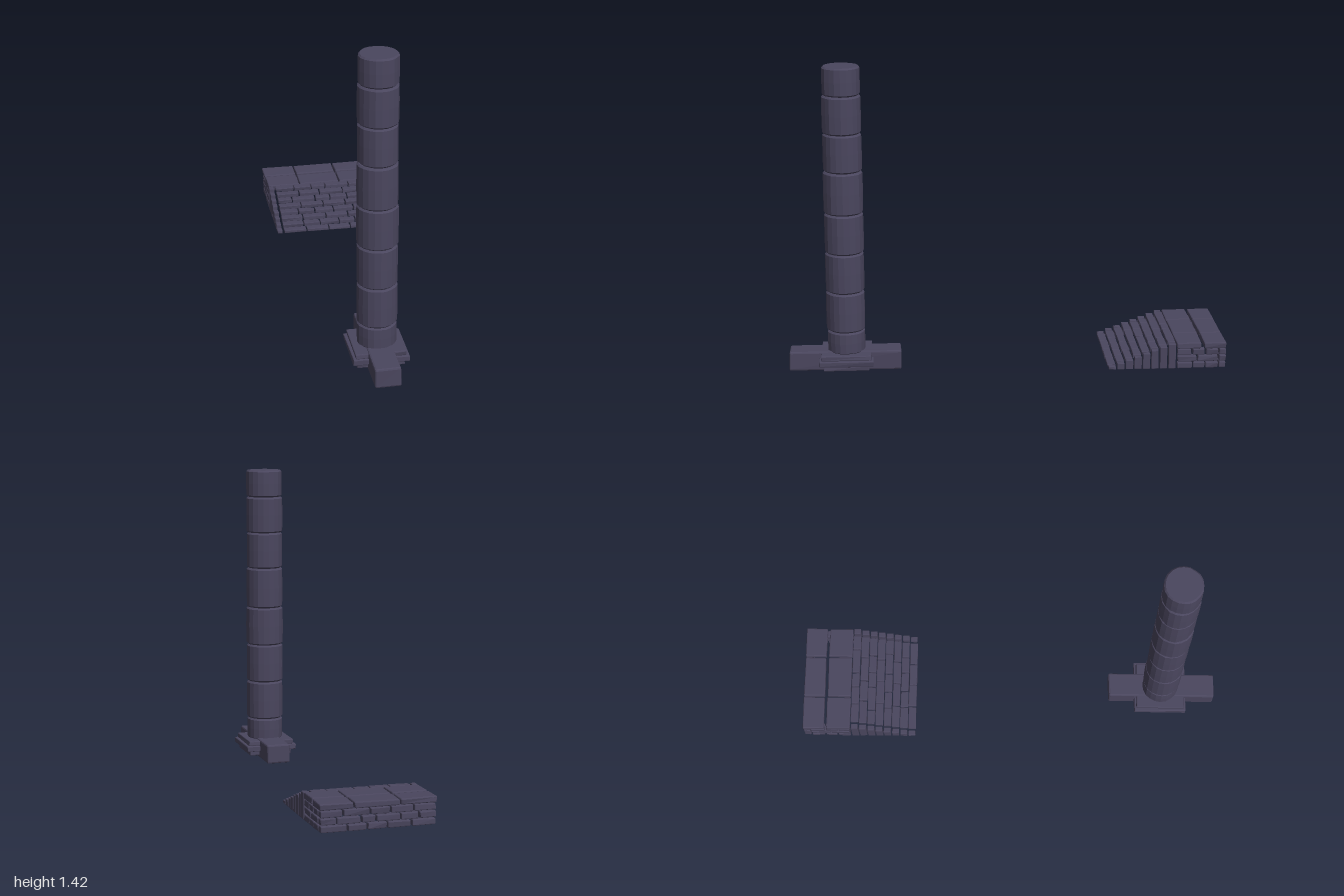
import * as THREE from 'three';
import { mergeGeometries } from 'three/addons/utils/BufferGeometryUtils.js';
import { RoundedBoxGeometry } from 'three/addons/geometries/RoundedBoxGeometry.js';

export function createModel() {
  const model = new THREE.Group();
  const stoneMat = new THREE.MeshStandardMaterial({ color: 0x4a465e });
  stoneMat.name = 'slate stone';

  // Small seeded generator for hand-cut irregularity
  let seed = 7;
  const rand = () => (seed = (seed * 16807) % 2147483647) / 2147483647;
  const vary = (a) => (rand() * 2 - 1) * a;

  // Chamfered block between two corners, each corner nudged a little
  function stone([x0, x1], [y0, y1], [z0, z1], wobble = 0.002, bevel = 0.004) {
    const w = x1 - x0, h = y1 - y0, d = z1 - z0;
    const geo = new RoundedBoxGeometry(w, h, d, 1, Math.min(bevel, w / 4, h / 4, d / 4));
    const nudge = Array.from({ length: 8 }, () => [vary(wobble), vary(wobble * 0.6), vary(wobble)]);
    const p = geo.attributes.position;
    for (let i = 0; i < p.count; i++) {
      const c = [p.getX(i), p.getY(i), p.getZ(i)];
      const n = nudge[(c[0] > 0 ? 1 : 0) + (c[1] > 0 ? 2 : 0) + (c[2] > 0 ? 4 : 0)];
      p.setXYZ(i, c[0] + n[0], c[1] + n[1], c[2] + n[2]);
    }
    geo.translate((x0 + x1) / 2, (y0 + y1) / 2, (z0 + z1) / 2);
    geo.computeVertexNormals();
    return geo;
  }

  function add(parent, name, geos) {
    const mesh = new THREE.Mesh(geos.length > 1 ? mergeGeometries(geos) : geos[0], stoneMat);
    mesh.name = name;
    parent.add(mesh);
  }

  // Splits a length into count bricks with uneven joints
  function split(from, to, count, gap, unevenness) {
    const step = (to - from) / count;
    const cuts = [from];
    for (let i = 1; i < count; i++) cuts.push(from + step * i + vary(step * unevenness));
    cuts.push(to);
    return cuts.slice(1).map((c, i) => [cuts[i] + gap / 2, c - gap / 2]);
  }

  // ---- Column ----
  const column = new THREE.Group();
  column.name = 'column';
  model.add(column);
  const colZ = 0.735, sides = 20;

  // Stacked drum: bevelled rims with chiselled, slightly uneven facets
  function drum(y0, y1, r) {
    const b = 0.008, g = 0.001;
    const profile = [[0, y0 + g], [r - 0.007, y0 + g], [r, y0 + b], [r + 0.001, (y0 + y1) / 2],
      [r, y1 - b], [r - 0.007, y1 - g], [0, y1 - g]].map(([x, y]) => new THREE.Vector2(x, y));
    const geo = new THREE.LatheGeometry(profile, sides);
    const facet = Array.from({ length: sides }, () => 1 + vary(0.018));
    const p = geo.attributes.position;
    for (let i = 0; i < p.count; i++) {
      const f = facet[Math.floor(i / profile.length) % sides];
      p.setXYZ(i, p.getX(i) * f, p.getY(i), p.getZ(i) * f);
    }
    geo.translate(0, 0, colZ);
    const flat = geo.toNonIndexed();
    flat.computeVertexNormals();
    return flat;
  }
  const seams = [0.085, 0.19, 0.375, 0.56, 0.745, 0.94, 1.115, 1.29, 1.422];
  const radii = [0.086, 0.088, 0.088, 0.089, 0.089, 0.087, 0.088, 0.086];
  radii.forEach((r, i) => add(column, 'drum' + (i + 1), [drum(seams[i], seams[i + 1], r)]));

  // Foot: long beam crossed by three layered slabs
  add(column, 'footBeam', [stone([-0.058, 0.058], [0.004, 0.094], [0.483, 0.997], 0.003, 0.008)]);
  add(column, 'lowerSlab', [stone([-0.105, 0.105], [0.015, 0.042], [0.632, 0.838])]);
  add(column, 'middleSlab', [stone([-0.124, 0.124], [0.04, 0.068], [0.61, 0.86])]);
  add(column, 'upperSlab', [stone([-0.112, 0.112], [0.066, 0.09], [0.62, 0.85])]);

  // ---- Stairs ----
  const stairs = new THREE.Group();
  stairs.name = 'stairs';
  model.add(stairs);
  const base = 0.05, steps = 8, run = 0.039, front = -0.457;

  // Treads of thin bricks, flanked by upright edge blocks
  for (let i = 0; i < steps; i++) {
    const top = 0.065 + i * 0.0147;
    const z1 = front - i * run, z0 = z1 - run;
    const offset = i % 2 ? 0.2 : 0.05;
    const bricks = split(-0.224, 0.222, i % 2 ? 5 : 4, 0.005, offset)
      .map((x) => stone(x, [Math.max(base, top - 0.019), top], [z0 + 0.001, z1 - 0.001], 0.0015, 0.003));
    add(stairs, 'tread' + (i + 1), bricks);
    const ends = [[-0.255, -0.231], [0.23, 0.255]]
      .map((x) => stone(x, [base, top], [z0 + 0.003, z1 - 0.003], 0.001, 0.003));
    add(stairs, 'edgeBlocks' + (i + 1), ends);
  }

  // Landing paved with two rows of large slabs
  const paving = [];
  for (const z of [[-0.998, -0.897], [-0.884, -0.771]])
    for (const x of [[-0.255, -0.098], [-0.091, 0.104], [0.111, 0.255]])
      paving.push(stone(x, [0.143, 0.17], z, 0.002, 0.005));
  add(stairs, 'landingSlabs', paving);

  // Brick courses around the hollow landing
  const courses = [[0.05, 0.077], [0.081, 0.109], [0.113, 0.141]];
  const sideWalls = [], backWall = [];
  courses.forEach((y, row) => {
    for (const x of [[-0.254, -0.222], [0.222, 0.254]])
      for (const z of split(-0.963, -0.772, row % 2 ? 2 : 3, 0.006, 0.2))
        sideWalls.push(stone(x, y, z));
    for (const x of split(-0.255, 0.255, row % 2 ? 6 : 5, 0.007, 0.2))
      backWall.push(stone(x, y, [-0.997, -0.966]));
  });
  add(stairs, 'sideWalls', sideWalls);
  add(stairs, 'backWall', backWall);

  return model;
}
